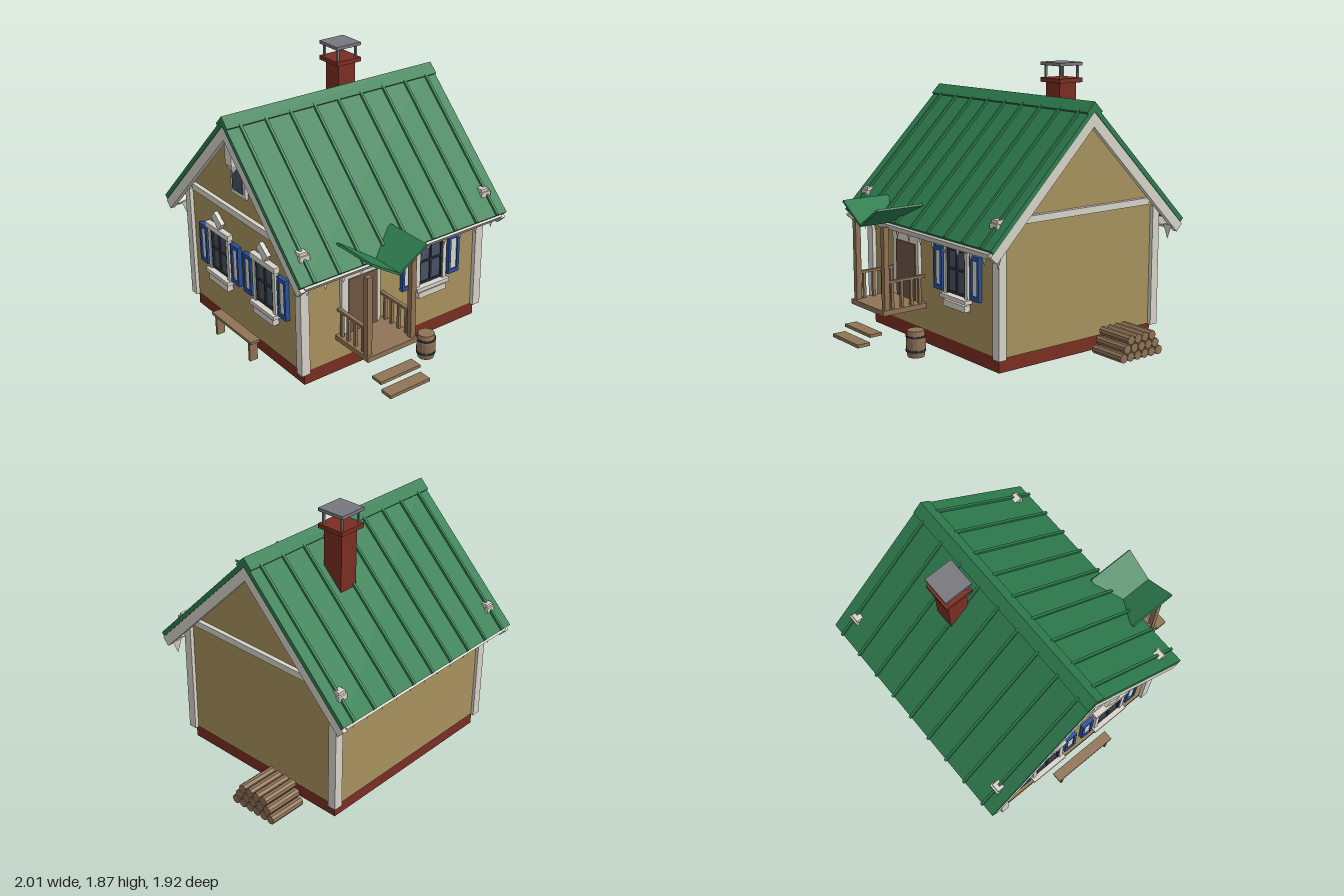
import * as THREE from 'three';

const mat = (color) => new THREE.MeshStandardMaterial({ color, flatShading: true });
const M = {
  trim: mat(0xd8d4ca), wall: mat(0xa8935f), green: mat(0x2e7d4f), brick: mat(0x7a2e22),
  wood: mat(0x8f7355), door: mat(0x6e5644), blue: mat(0x28509c), glass: mat(0x465264),
  dark: mat(0x30333a), metal: mat(0x77777d),
};
const RIDGE_X = -0.18, SLOPE = Math.PI / 4;

export function createModel() {
  const root = new THREE.Group();
  root.name = 'cottage';

  const add = (parent, name, geo, m, x = 0, y = 0, z = 0) => {
    const mesh = new THREE.Mesh(geo, m);
    mesh.name = name;
    mesh.position.set(x, y, z);
    parent.add(mesh);
    return mesh;
  };
  // box from its limits on each axis
  const box = (parent, name, m, x0, x1, y0, y1, z0, z1) =>
    add(parent, name, new THREE.BoxGeometry(x1 - x0, y1 - y0, z1 - z0), m,
      (x0 + x1) / 2, (y0 + y1) / 2, (z0 + z1) / 2);
  const prism = (parent, name, m, pts, z0, z1) => {
    const shape = new THREE.Shape(pts.map(([x, y]) => new THREE.Vector2(x, y)));
    return add(parent, name,
      new THREE.ExtrudeGeometry(shape, { depth: z1 - z0, bevelEnabled: false }), m, RIDGE_X, 0, z0);
  };
  // inverted V between two 45 degree lines, cut square at the eaves
  const chevron = (parent, name, m, top, low, e, z0, z1) => {
    const d = (top - low) / 2;
    return prism(parent, name, m, [[0, top], [-e, top - e], [d - e, top - e - d], [0, low],
      [e - d, top - e - d], [e, top - e]], z0, z1);
  };
  const group = (name) => {
    const g = new THREE.Group();
    g.name = name;
    root.add(g);
    return g;
  };

  // body
  box(root, 'foundation', M.brick, -0.825, 0.48, 0, 0.1, -0.625, 0.82);
  prism(root, 'walls', M.wall, [[-0.66, 0.095], [0.66, 0.095], [0.66, 0.94], [0, 1.6], [-0.66, 0.94]], -0.635, 0.83);
  for (const x of [-0.83, 0.48]) for (const z of [-0.63, 0.825]) {
    box(root, 'cornerPost', M.trim, x - 0.03, x + 0.03, 0.09, 0.92, z - 0.032, z + 0.032);
  }
  for (const [z0, z1] of [[0.82, 0.86], [-0.665, -0.625]]) {
    box(root, 'gableBeam', M.trim, RIDGE_X - 0.58, RIDGE_X + 0.58, 0.935, 0.98, z0, z1);
  }

  // roof
  const roof = group('roof');
  chevron(roof, 'roofPanels', M.green, 1.645, 1.6, 0.82, -0.75, 0.94);
  chevron(roof, 'ridgeCap', M.green, 1.665, 1.63, 0.065, -0.75, 0.942);
  chevron(roof, 'frontBargeboard', M.trim, 1.6, 1.505, 0.815, 0.9, 0.935);
  chevron(roof, 'backBargeboard', M.trim, 1.6, 1.505, 0.815, -0.745, -0.71);
  for (const s of [-1, 1]) {
    const fascia = add(roof, 'fascia', new THREE.BoxGeometry(0.03, 0.07, 1.62), M.trim, RIDGE_X + s * 0.78, 0.785, 0.095);
    fascia.rotation.z = -s * SLOPE;
    for (let i = 0; i < 9; i++) {
      const seam = add(roof, 'standingSeam', new THREE.BoxGeometry(1.1, 0.024, 0.018), M.green,
        RIDGE_X + s * 0.435, 1.216, -0.66 + i * 0.1875);
      seam.rotation.z = -s * SLOPE;
    }
    for (let i = 0; i < 12; i++) {
      const drop = add(roof, 'eavePendant', new THREE.ConeGeometry(0.04, 0.1, 4), M.trim,
        RIDGE_X + s * 0.725, 0.735, 0.83 - i * 0.139);
      drop.rotation.x = Math.PI;
      drop.scale.x = 0.3;
    }
    for (const z of [0.84, -0.645]) {
      const x = RIDGE_X + s * 0.685;
      box(roof, 'roofBracket', M.trim, x - 0.025, x + 0.025, 0.94, 0.985, z - 0.03, z + 0.03);
      box(roof, 'bracketHook', M.trim, x + s * 0.025 - 0.012, x + s * 0.025 + 0.012, 0.93, 0.965, z - 0.04, z + 0.035);
    }
  }
  // gable pendant
  box(root, 'gablePost', M.trim, -0.215, -0.14, 1.33, 1.56, 0.845, 0.91);
  const tip = add(root, 'gablePostTip', new THREE.ConeGeometry(0.05, 0.07, 4).rotateY(SLOPE), M.trim, -0.178, 1.295, 0.878);
  tip.rotation.x = Math.PI;

  // chimney
  const chimney = group('chimney');
  box(chimney, 'stack', M.brick, -0.49, -0.345, 1.15, 1.74, -0.22, -0.08);
  box(chimney, 'collar', M.brick, -0.52, -0.32, 1.735, 1.765, -0.25, -0.05);
  box(chimney, 'cover', M.metal, -0.52, -0.32, 1.848, 1.87, -0.25, -0.05);
  for (const x of [-0.495, -0.345]) for (const z of [-0.225, -0.075]) {
    box(chimney, 'coverLeg', M.metal, x - 0.007, x + 0.007, 1.76, 1.85, z - 0.007, z + 0.007);
  }

  // shuttered windows, built facing +z
  const window = (x, z, turn, ornament) => {
    const g = group('window');
    g.position.set(x, 0, z);
    g.rotation.y = turn;
    box(g, 'glass', M.glass, -0.1, 0.1, 0.42, 0.72, -0.01, 0.012);
    for (const s of [-1, 1]) {
      box(g, 'frameSide', M.trim, s * 0.115 - 0.015, s * 0.115 + 0.015, 0.4, 0.73, -0.01, 0.03);
      box(g, 'sashSide', M.dark, s * 0.095 - 0.008, s * 0.095 + 0.008, 0.42, 0.72, 0, 0.024);
      const c = s * 0.2;
      for (const t of [-1, 1]) {
        box(g, 'shutterStile', M.blue, c + t * 0.037 - 0.01, c + t * 0.037 + 0.01, 0.42, 0.71, 0, 0.03);
        box(g, 'shutterRail', M.blue, c - 0.04, c + 0.04, 0.565 + t * 0.13 - 0.015, 0.565 + t * 0.13 + 0.015, 0, 0.03);
      }
      box(g, 'shutterPanel', M.trim, c - 0.03, c + 0.03, 0.44, 0.69, 0, 0.02);
    }
    for (const y of [0.428, 0.585, 0.712]) box(g, 'sashBar', M.dark, -0.1, 0.1, y - 0.007, y + 0.007, 0, 0.022);
    box(g, 'mullion', M.dark, -0.007, 0.007, 0.42, 0.72, 0, 0.022);
    box(g, 'lintel', M.trim, -0.145, 0.145, 0.72, 0.76, -0.01, 0.04);
    box(g, 'sill', M.trim, -0.14, 0.14, 0.385, 0.412, -0.01, 0.055);
    box(g, 'apron', M.trim, -0.118, 0.118, 0.33, 0.372, -0.01, 0.045);
    if (ornament) {
      const o = add(g, 'windowOrnament', new THREE.BoxGeometry(0.11, 0.065, 0.03), M.trim, 0, 0.815, 0.02);
      o.rotation.z = -0.65;
    }
  };
  window(-0.45, 0.83, 0, true);
  window(0.1, 0.83, 0, true);
  window(0.48, -0.205, Math.PI / 2, false);

  // attic window
  box(root, 'atticFrame', M.trim, -0.26, -0.09, 1.1, 1.3, 0.82, 0.85);
  box(root, 'atticGlass', M.glass, -0.235, -0.115, 1.13, 1.28, 0.83, 0.855);

  // door
  box(root, 'doorFrame', M.trim, 0.47, 0.505, 0.27, 0.72, 0.225, 0.535);
  box(root, 'door', M.door, 0.47, 0.512, 0.28, 0.67, 0.255, 0.485);

  // porch with railings and a V-shaped canopy
  const porch = group('porch');
  box(porch, 'porchFloor', M.wood, 0.47, 0.82, 0.245, 0.28, 0.17, 0.572);
  for (const z of [0.195, 0.545]) {
    box(porch, 'porchPost', M.wood, 0.765, 0.803, 0.28, 0.835, z - 0.019, z + 0.019);
    box(porch, 'handrail', M.wood, 0.48, 0.78, 0.455, 0.472, z - 0.013, z + 0.013);
    for (const x of [0.52, 0.585, 0.66, 0.735]) {
      box(porch, 'baluster', M.wood, x - 0.01, x + 0.01, 0.28, 0.46, z - 0.01, z + 0.01);
    }
  }
  for (const s of [-1, 1]) {
    const panel = add(porch, 'canopyPanel', new THREE.BoxGeometry(0.35, 0.015, 0.255), M.green, 0.69, 0.892, 0.365 + s * 0.108);
    panel.rotation.x = -s * 0.555;
  }
  box(porch, 'upperStep', M.wood, 0.81, 0.9, 0.106, 0.127, 0.21, 0.53);
  box(porch, 'lowerStep', M.wood, 0.902, 0.995, 0.053, 0.076, 0.21, 0.53);

  // barrel
  const barrel = group('barrel');
  barrel.position.set(0.692, 0, -0.015);
  const profile = [[0, 0], [0.056, 0], [0.065, 0.06], [0.065, 0.12], [0.056, 0.178], [0, 0.178]];
  add(barrel, 'barrelBody', new THREE.LatheGeometry(profile.map(([x, y]) => new THREE.Vector2(x, y)), 14), M.wood);
  for (const y of [0.042, 0.138]) {
    add(barrel, 'hoop', new THREE.CylinderGeometry(0.067, 0.067, 0.013, 14), M.dark, 0, y);
  }

  // bench
  const bench = group('bench');
  box(bench, 'benchSeat', M.wood, -0.415, 0.07, 0.143, 0.163, 0.885, 0.957);
  for (const x of [-0.38, 0.032]) box(bench, 'benchLeg', M.wood, x - 0.01, x + 0.01, 0, 0.145, 0.89, 0.95);

  // stacked logs
  const pile = group('woodPile');
  for (let row = 0; row < 3; row++) for (let i = 0; i < 6 - row; i++) {
    add(pile, 'log', new THREE.CylinderGeometry(0.031, 0.031, 0.27, 9).rotateX(Math.PI / 2), M.wood,
      -0.58 + (i + row / 2) * 0.062, 0.031 + row * 0.056, -0.825);
  }
  return root;
}
